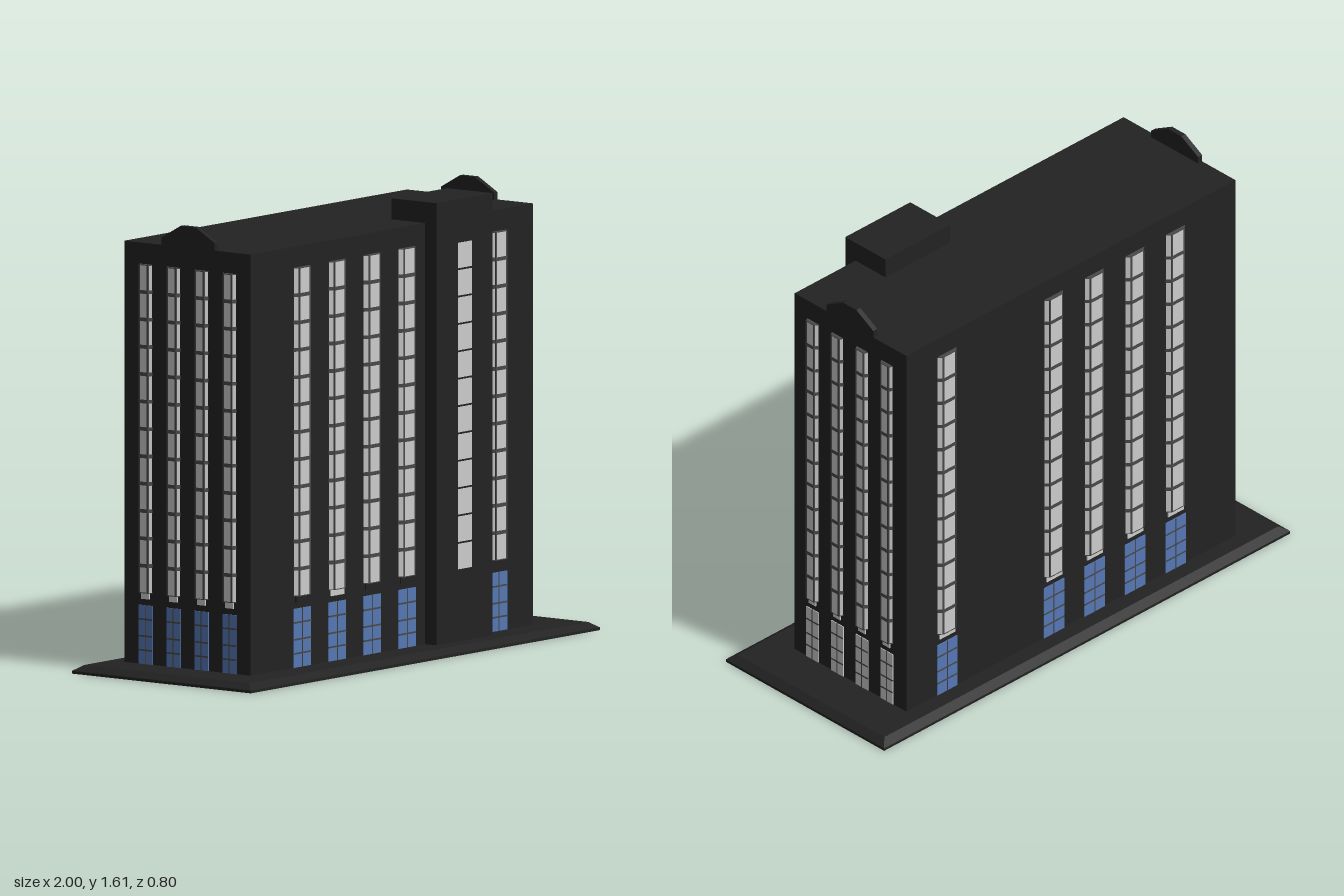
import * as THREE from 'three';

const mat = (color) => new THREE.MeshStandardMaterial({ color, flatShading: true });
const wallMat = mat(0x222222), frameMat = mat(0x484848), paneMat = mat(0xcccccc), blueMat = mat(0x5577b4);

const FLOORS = 12, BAY_BOTTOM = 0.285, BAY_TOP = 1.455;
const PITCH = (BAY_TOP - BAY_BOTTOM) / FLOORS;

function add(parent, name, geometry, material, x = 0, y = 0, z = 0) {
  const mesh = new THREE.Mesh(geometry, material);
  mesh.name = name;
  mesh.position.set(x, y, z);
  parent.add(mesh);
  return mesh;
}

// Box given by its extents
function block(parent, name, material, x0, x1, y0, y1, z0, z1) {
  return add(parent, name, new THREE.BoxGeometry(x1 - x0, y1 - y0, z1 - z0), material,
    (x0 + x1) / 2, (y0 + y1) / 2, (z0 + z1) / 2);
}

// Upright prism with a trapezoid plan, back on z = 0, bulging to +z
function trapezoidPrism(width, flat, depth, height) {
  const s = new THREE.Shape();
  s.moveTo(-width / 2, 0.004);
  s.lineTo(width / 2, 0.004);
  s.lineTo(flat / 2, -depth);
  s.lineTo(-flat / 2, -depth);
  const g = new THREE.ExtrudeGeometry(s, { depth: height, bevelEnabled: false });
  return g.rotateX(-Math.PI / 2);
}

// Tall bay window: glass prism, floor bands and corner posts
function bayWindow(w, flat) {
  const bay = new THREE.Group();
  bay.name = 'bayWindow';
  const depth = 0.014;
  add(bay, 'bayGlass', trapezoidPrism(w, flat, depth, BAY_TOP - BAY_BOTTOM - 0.002), paneMat, 0, BAY_BOTTOM, 0);
  const bandGeo = trapezoidPrism(w + 0.003, flat + 0.003, depth + 0.002, 0.013);
  for (let i = 1; i < FLOORS; i++) {
    add(bay, 'floorBand', bandGeo, frameMat, 0, BAY_BOTTOM + i * PITCH - 0.0065, 0);
  }
  const capGeo = trapezoidPrism(w + 0.002, flat + 0.002, depth + 0.001, 0.003);
  add(bay, 'bayCap', capGeo, frameMat, 0, BAY_TOP - 0.003, 0);
  add(bay, 'bayFoot', capGeo, frameMat, 0, BAY_BOTTOM - 0.001, 0);
  for (const s of [-1, 1]) {
    const x = s * flat / 2;
    block(bay, 'cornerPost', frameMat, x - 0.003, x + 0.003, BAY_BOTTOM, BAY_TOP - 0.001, 0, depth + 0.001);
  }
  return bay;
}

// Ground floor window with glazing bars
function groundWindow(w, glass) {
  const win = new THREE.Group();
  win.name = 'groundWindow';
  block(win, 'groundGlass', glass, -w / 2, w / 2, 0.03, 0.24, -0.004, 0.003);
  block(win, 'mullion', frameMat, -0.002, 0.002, 0.03, 0.24, -0.004, 0.004);
  for (const y of [0.08, 0.13, 0.19]) {
    block(win, 'glazingBar', frameMat, -w / 2, w / 2, y - 0.003, y + 0.003, -0.004, 0.004);
  }
  return win;
}

// One facade: window columns in local x on a wall facing local +z
function facade(name, columns, w, flat, sillW, glass, sillFor) {
  const wall = new THREE.Group();
  wall.name = name;
  columns.forEach((x, i) => {
    const column = new THREE.Group();
    column.name = 'windowColumn';
    column.position.x = x;
    column.add(bayWindow(w, flat), groundWindow(w, glass));
    block(column, 'sillPanel', sillFor(i), -sillW / 2, sillW / 2, 0.262, 0.284, -0.004, 0.005);
    wall.add(column);
  });
  return wall;
}

export function createModel() {
  const model = new THREE.Group();
  model.name = 'towerBlock';

  // Plinth with a sloped upper edge
  block(model, 'plinthSlab', wallMat, -1, 1, 0, 0.01, -0.4, 0.4);
  const slope = new THREE.BoxGeometry(2, 0.02, 0.8);
  const p = slope.attributes.position;
  for (let i = 0; i < p.count; i++) {
    if (p.getY(i) > 0) {
      p.setX(i, Math.sign(p.getX(i)) * 0.97);
      p.setZ(i, Math.sign(p.getZ(i)) * 0.37);
    }
  }
  slope.computeVertexNormals();
  add(model, 'plinthSlope', slope, wallMat, 0, 0.02, 0);

  // Main block and stair tower
  block(model, 'mainBlock', wallMat, -0.82, 0.8, 0.03, 1.53, -0.307, 0.257);
  block(model, 'stairTower', wallMat, 0.18, 0.5, 0.03, 1.605, 0.107, 0.309);

  // Stair tower windows
  for (let i = 0; i < FLOORS; i++) {
    const y = BAY_BOTTOM + i * PITCH;
    block(model, 'stairWindow', paneMat, 0.302, 0.381, y + 0.002, y + PITCH - 0.005, 0.3, 0.311);
  }

  // Facades
  const longX = [-0.525, -0.325, -0.125, 0.075, 0.6];
  const sideZ = [0.165, 0.04, -0.085, -0.21];

  const front = facade('frontFacade', longX, 0.1, 0.06, 0.076, blueMat, (i) => (i === 1 ? paneMat : wallMat));
  front.position.z = 0.257;

  const back = facade('backFacade', longX.map((x) => -x), 0.1, 0.06, 0.076, blueMat, () => paneMat);
  back.rotation.y = Math.PI;
  back.position.z = -0.307;

  const right = facade('rightFacade', sideZ.map((z) => -z), 0.062, 0.036, 0.036, paneMat, () => paneMat);
  right.rotation.y = Math.PI / 2;
  right.position.x = 0.8;

  const left = facade('leftFacade', sideZ, 0.062, 0.036, 0.036, blueMat, () => paneMat);
  left.rotation.y = -Math.PI / 2;
  left.position.x = -0.82;
  model.add(front, back, right, left);

  // Stepped gable parapets over both ends
  const gable = new THREE.Shape();
  gable.moveTo(-0.097, 1.52);
  gable.lineTo(0.14, 1.52);
  gable.lineTo(0.14, 1.557);
  gable.lineTo(0.055, 1.605);
  gable.lineTo(-0.012, 1.605);
  gable.lineTo(-0.097, 1.557);
  const gableGeo = new THREE.ExtrudeGeometry(gable, { depth: 0.02, bevelEnabled: false }).rotateY(Math.PI / 2);
  add(model, 'gableParapet', gableGeo, wallMat, 0.78, 0, 0);
  add(model, 'gableParapet', gableGeo, wallMat, -0.82, 0, 0);

  return model;
}
